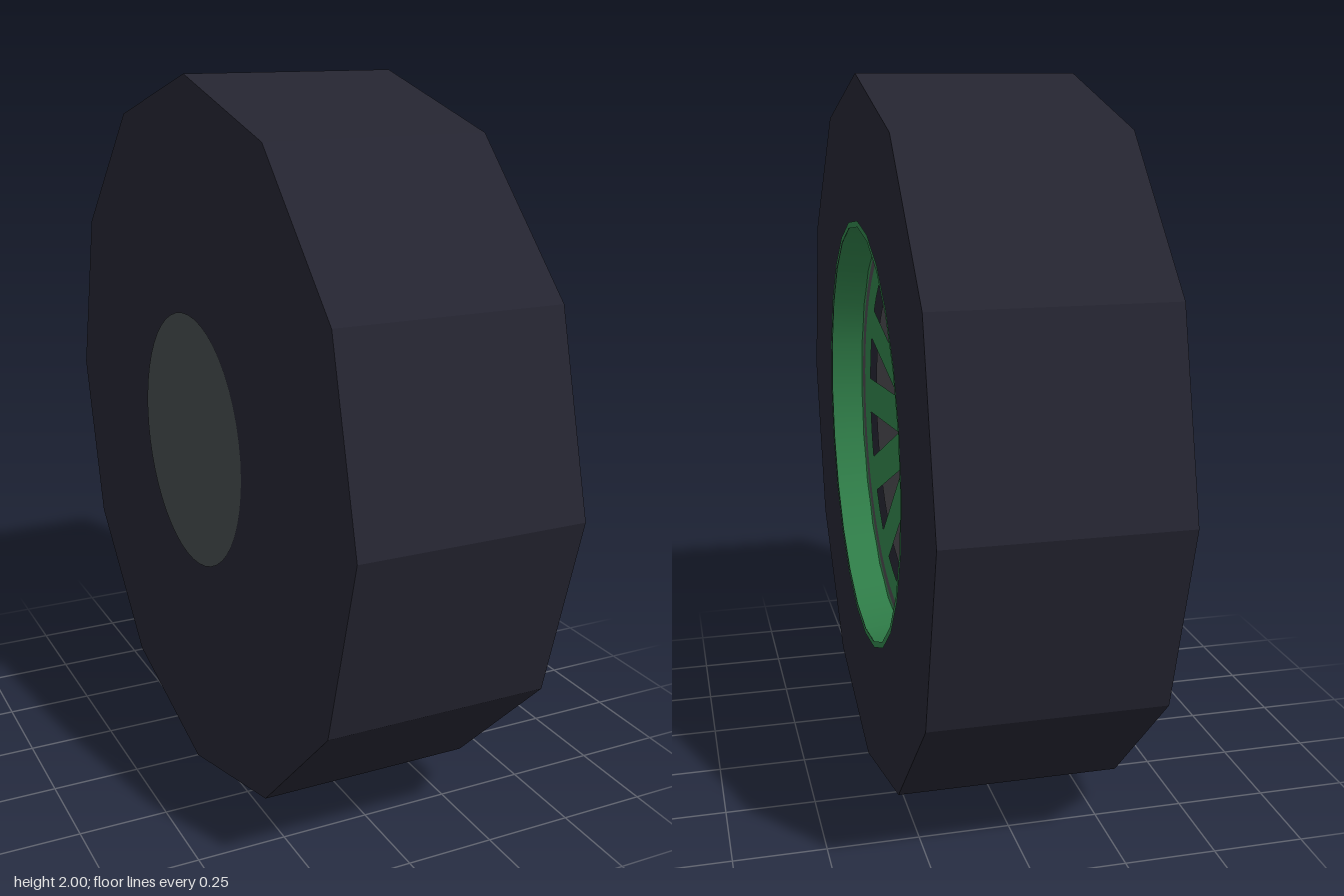
import * as THREE from 'three';

const HALF = 0.305;   // half the tyre width
const HOLE = 0.596;   // hub opening radius
const DISH = 0.58;    // dish outer radius

const mat = (name, color, side = THREE.FrontSide) => {
  const m = new THREE.MeshStandardMaterial({ color, side });
  m.name = name;
  return m;
};

// Height of the concave hub dish at a given radius
const dishZ = (r) => 0.125 + 0.08 * (r / DISH);

// Lay a flat geometry onto the dish, lifted a little
function ontoDish(geo, lift) {
  const p = geo.attributes.position;
  for (let i = 0; i < p.count; i++) p.setZ(i, dishZ(Math.hypot(p.getX(i), p.getY(i))) + lift);
  geo.computeVertexNormals();
  return geo;
}

const polygon = (radius, sides) => Array.from({ length: sides }, (_, i) => {
  const a = Math.PI / 2 + (i / sides) * Math.PI * 2;
  return new THREE.Vector2(Math.cos(a) * radius, Math.sin(a) * radius);
});

export function createModel() {
  const rubber = mat('dark rubber', 0x242430);
  const green = mat('green paint', 0x2f7d48, THREE.DoubleSide);
  const grey = mat('grey metal', 0x48474c, THREE.DoubleSide);
  const backGrey = mat('back plate grey', 0x42484a);

  // Built facing +z, then turned so the hub faces +x
  const wheel = new THREE.Group();
  wheel.name = 'wheel';
  const add = (name, geo, material, z = 0) => {
    const m = new THREE.Mesh(geo, material);
    m.name = name;
    m.position.z = z;
    wheel.add(m);
    return m;
  };

  // Twelve-sided tyre with the hub opening
  const shape = new THREE.Shape(polygon(1, 12));
  shape.holes.push(new THREE.Path(polygon(HOLE, 24)));
  add('tyre', new THREE.ExtrudeGeometry(shape, { depth: HALF * 2, bevelEnabled: false }), rubber, -HALF);

  // Closed back with its centre plate
  add('tyreBack', new THREE.CircleGeometry(HOLE, 24).rotateY(Math.PI), rubber, -HALF);
  add('backPlate', new THREE.CircleGeometry(0.36, 48).rotateY(Math.PI), backGrey, -HALF - 0.002);

  // Painted lip around the opening
  add('rimLip', new THREE.RingGeometry(HOLE - 0.005, 0.608, 24), green, HALF + 0.002);

  // Sloping rim wall with grey streaks
  const wallDepth = HALF - dishZ(DISH);
  const wall = (r0, r1, segs, start, length) =>
    new THREE.CylinderGeometry(r0, r1, wallDepth, segs, 1, true, start, length).rotateX(Math.PI / 2);
  const wallZ = HALF - wallDepth / 2;
  add('rimWall', wall(HOLE - 0.002, DISH, 24, 0, Math.PI * 2), green, wallZ);
  for (let i = 0; i < 24; i++) {
    const step = Math.PI / 12;
    add('wallStreak', wall(HOLE - 0.005, DISH - 0.003, 1, (i + 0.3) * step, step * 0.35), grey, wallZ);
  }

  // Dish layers: dark base, grey centre, rings
  const ring = (name, r0, r1, material, lift) =>
    add(name, ontoDish(new THREE.RingGeometry(r0, r1, 48, 4), lift), material);
  ring('dishBase', 0.001, DISH + 0.005, rubber, 0);
  ring('greyDisc', 0.001, 0.435, grey, 0.003);
  ring('innerRing', 0.485, 0.542, green, 0.006);
  ring('greyRing', 0.542, 0.565, grey, 0.006);
  ring('outerRing', 0.565, DISH + 0.005, green, 0.006);

  // Twelve spokes and the hub they meet in
  for (let i = 0; i < 12; i++) {
    const spoke = new THREE.PlaneGeometry(0.11, 0.35, 2, 8);
    spoke.translate(0, 0.325, 0).rotateZ((i * Math.PI) / 6);
    add('spoke', ontoDish(spoke, 0.006), green);
  }
  ring('hub', 0.001, 0.21, green, 0.007);

  // Diamond hub cap
  add('hubCap', ontoDish(new THREE.RingGeometry(0.001, 0.085, 4, 3), 0.012), grey);

  wheel.rotation.y = Math.PI / 2;
  wheel.position.y = 1;
  const model = new THREE.Group();
  model.name = 'wheelModel';
  model.add(wheel);
  return model;
}
